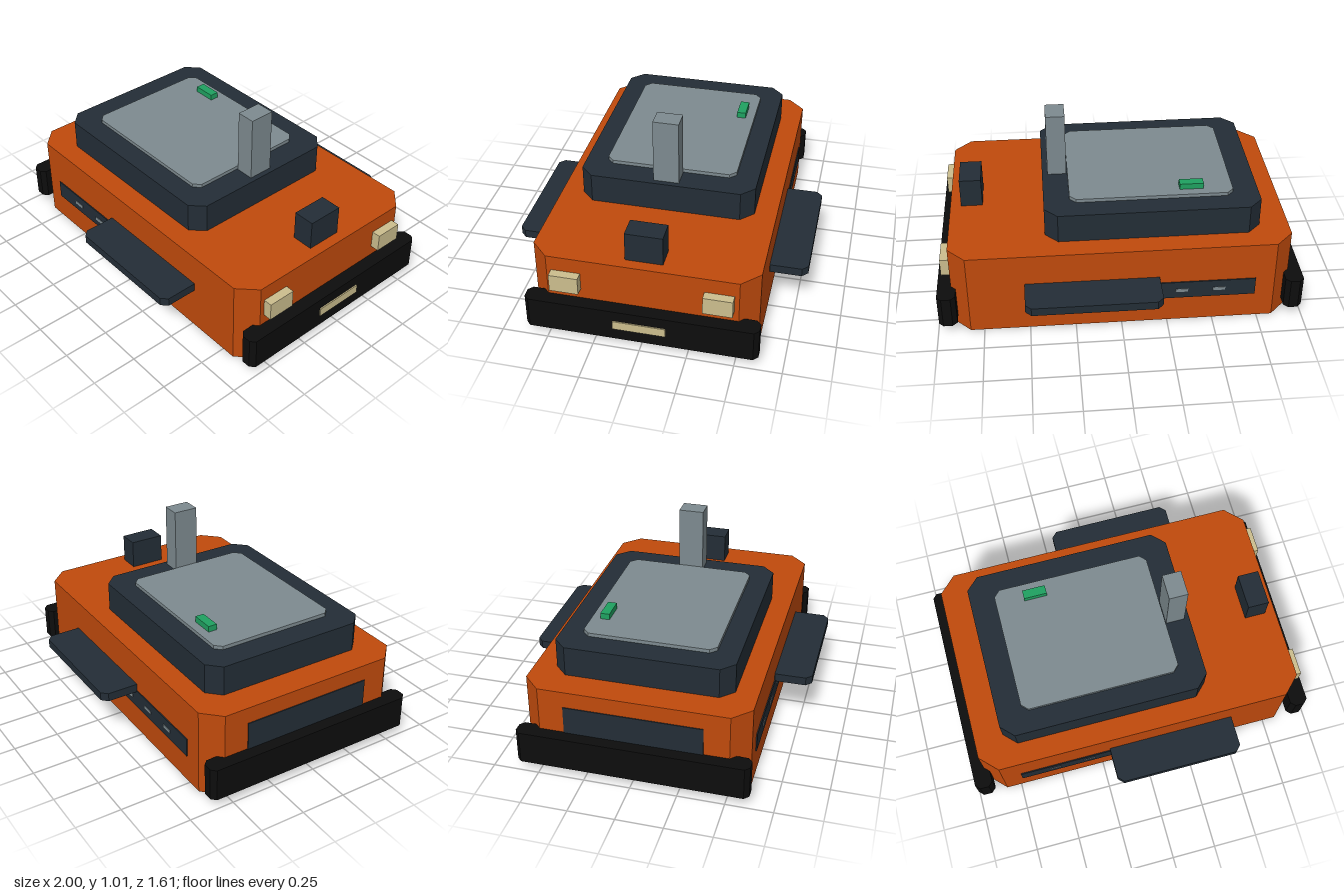
import * as THREE from 'three';

const paint = (name, color) => {
  const m = new THREE.MeshStandardMaterial({ color });
  m.name = name;
  return m;
};

export function createModel() {
  const orange = paint('orange', 0xc04a0c);
  const slate = paint('slate', 0x232d36);
  const grey = paint('grey', 0x7d8a8f);
  const black = paint('black', 0x0d0d0d);
  const cream = paint('cream', 0xcbbd8d);
  const green = paint('green', 0x1fa160);

  const model = new THREE.Group();
  model.name = 'vehicle';

  const add = (name, geometry, material) => {
    const mesh = new THREE.Mesh(geometry, material);
    mesh.name = name;
    model.add(mesh);
    return mesh;
  };

  // Plain block given by its extents
  const box = (name, material, [x0, x1], [y0, y1], [z0, z1]) =>
    add(name, new THREE.BoxGeometry(x1 - x0, y1 - y0, z1 - z0), material)
      .position.set((x0 + x1) / 2, (y0 + y1) / 2, (z0 + z1) / 2);

  // Upright block whose four vertical edges are cut off by c
  const cutBlock = (name, material, [x0, x1], [y0, y1], [z0, z1], c) => {
    const outline = new THREE.Shape([
      [x0 + c, -z1], [x1 - c, -z1], [x1, -z1 + c], [x1, -z0 - c],
      [x1 - c, -z0], [x0 + c, -z0], [x0, -z0 - c], [x0, -z1 + c],
    ].map(([x, y]) => new THREE.Vector2(x, y)));
    const geometry = new THREE.ExtrudeGeometry(outline, { depth: y1 - y0, bevelEnabled: false });
    geometry.rotateX(-Math.PI / 2).translate(0, y0, 0);
    add(name, geometry, material);
  };

  // Hull, raised deck and its cover plate
  cutBlock('body', orange, [-0.93, 0.92], [0, 0.48], [-0.6, 0.6], 0.095);
  cutBlock('deck', slate, [-0.77, 0.4], [0.48, 0.645], [-0.48, 0.48], 0.07);
  cutBlock('deckPlate', grey, [-0.63, 0.26], [0.645, 0.665], [-0.36, 0.36], 0.035);

  // Fittings on top
  box('mast', grey, [0.265, 0.37], [0.64, 1.01], [-0.07, 0.07]);
  box('sensorBlock', slate, [0.74, 0.86], [0.48, 0.645], [-0.1, 0.1]);
  box('statusLight', green, [-0.47, -0.34], [0.665, 0.698], [-0.31, -0.26]);

  // Bumpers at both ends, with a plate on the leading one
  cutBlock('rearBumper', black, [-1, -0.9], [0.055, 0.235], [-0.62, 0.62], 0.025);
  cutBlock('leadBumper', black, [0.893, 0.993], [0.055, 0.235], [-0.62, 0.62], 0.025);
  box('bumperPlate', cream, [0.992, 1], [0.125, 0.175], [-0.14, 0.14]);

  // Rear panel
  box('rearPanel', slate, [-0.935, -0.928], [0.15, 0.39], [-0.37, 0.37]);

  for (const s of [1, -1]) {
    const span = (a, b) => (s > 0 ? [a, b] : [-b, -a]);
    box('headlight', cream, [0.918, 0.968], [0.295, 0.395], span(0.325, 0.48));

    // Side step and vent panel with three slots
    cutBlock('sideStep', slate, [-0.205, 0.52], [0.253, 0.3], span(0.57, 0.805), 0.032);
    box('sidePanel', slate, [-0.73, -0.05], [0.155, 0.26], span(0.598, 0.606));
    for (const x of [-0.53, -0.327, -0.127]) {
      box('ventSlot', grey, [x - 0.034, x + 0.034], [0.196, 0.216], span(0.604, 0.609));
    }
  }
  return model;
}
